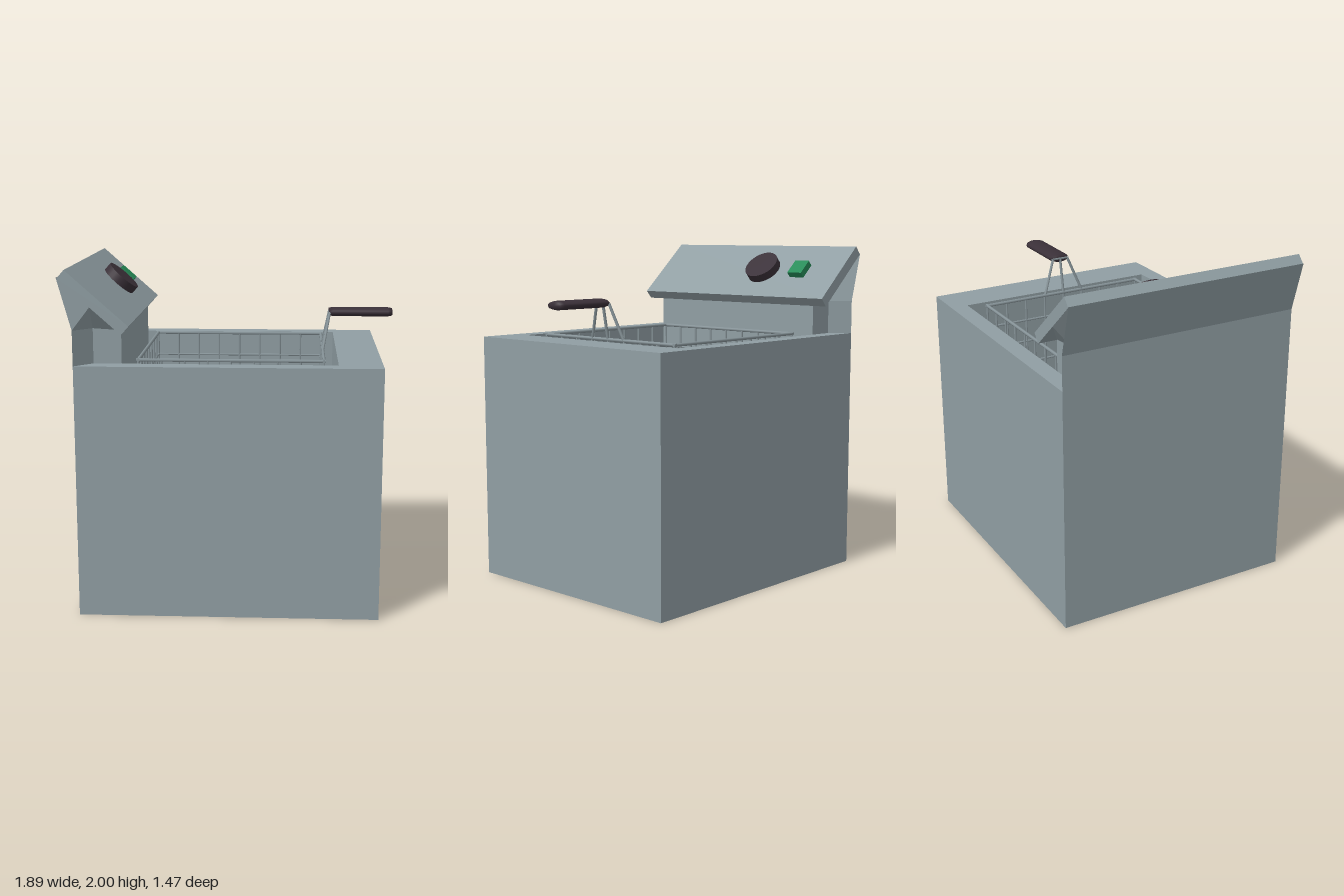
import * as THREE from 'three';
import { RoundedBoxGeometry } from 'three/addons/geometries/RoundedBoxGeometry.js';

const mat = (name, color) => Object.assign(new THREE.MeshStandardMaterial({ color }), { name });

export function createModel() {
  const steel = mat('brushed steel', 0x909ea3);
  const wire = mat('basket wire', 0x88959a);
  const dark = mat('dark plastic', 0x3a3038);
  const green = mat('green switch', 0x258c58);

  const model = new THREE.Group();
  model.name = 'deepFryer';
  const add = (name, geo, material, parent = model) => {
    const m = new THREE.Mesh(geo, material);
    m.name = name;
    parent.add(m);
    return m;
  };

  // Housing: hollow tank walls over a closed base
  const X0 = -0.87, X1 = 0.86, Z = 0.735, TOP = 1.465, FLOOR = 0.6, CX = 0.61, CZ = 0.63;
  const rect = (Type, x0, x1, z) => {
    const s = new Type();
    s.moveTo(x0, -z); s.lineTo(x1, -z); s.lineTo(x1, z); s.lineTo(x0, z); s.closePath();
    return s;
  };
  const outline = rect(THREE.Shape, X0, X1, Z);
  outline.holes.push(rect(THREE.Path, -CX, CX, CZ));
  const walls = new THREE.ExtrudeGeometry(outline, { depth: TOP - FLOOR, bevelEnabled: false });
  walls.rotateX(-Math.PI / 2).translate(0, FLOOR, 0);
  add('tankWalls', walls, steel);
  const base = new THREE.BoxGeometry(X1 - X0, FLOOR, 2 * Z);
  add('base', base.translate((X0 + X1) / 2, FLOOR / 2, 0), steel);

  // Neck of the control head: three rings, chamfered front corners, flaring to the panel
  const half = [
    [[-0.61, TOP, CZ], [-0.77, TOP, CZ], [X0, TOP, Z]],
    [[-0.61, 1.65, CZ], [-0.77, 1.665, CZ], [X0, 1.665, Z]],
    [[-0.61, 1.655, CZ], [-0.77, 1.795, Z], [-0.95, 1.957, Z]],
  ];
  const rings = half.map(h => [...h, ...[...h].reverse().map(([x, y, z]) => [x, y, -z])]);
  const pos = [];
  for (let r = 0; r < 2; r++) {
    for (let i = 0; i < 6; i++) {
      const j = (i + 1) % 6;
      const a = rings[r][i], b = rings[r][j], c = rings[r + 1][j], d = rings[r + 1][i];
      pos.push(...a, ...d, ...b, ...b, ...d, ...c);
    }
  }
  const neck = new THREE.BufferGeometry();
  neck.setAttribute('position', new THREE.Float32BufferAttribute(pos, 3));
  neck.computeVertexNormals();
  const neckMat = steel;
  neckMat.side = THREE.DoubleSide;
  add('controlNeck', neck, neckMat);

  // Sloping control panel; local y is the panel normal, local x runs down the slope
  const panel = new THREE.Group();
  panel.name = 'controlPanel';
  panel.position.set(-0.73, 1.845, 0);
  panel.rotation.z = -Math.atan2(0.31, 0.35);
  model.add(panel);
  add('panelSlab', new THREE.BoxGeometry(0.468, 0.064, 2 * Z).translate(0, -0.032, 0), steel, panel);
  const knob = new THREE.CylinderGeometry(0.111, 0.111, 0.052, 32);
  add('thermostatKnob', knob.translate(0, 0.026, -0.15), dark, panel);
  add('powerSwitch', new THREE.BoxGeometry(0.11, 0.04, 0.106).translate(0, 0.02, -0.44), green, panel);

  // Wire basket
  const basket = new THREE.Group();
  basket.name = 'basket';
  model.add(basket);
  const UP = new THREE.Vector3(0, 1, 0);
  const rod = (name, a, b, r = 0.007) => {
    const p = new THREE.Vector3(...a), q = new THREE.Vector3(...b);
    const m = add(name, new THREE.CylinderGeometry(r, r, p.distanceTo(q), 6), wire, basket);
    m.position.copy(p).add(q).multiplyScalar(0.5);
    m.quaternion.setFromUnitVectors(UP, q.sub(p).normalize());
  };
  const R = 0.53, RIM = 1.47, BOT = 0.76, N = 8, ROWS = 5;
  for (let i = 0; i <= N; i++) {
    const t = -R + (2 * R * i) / N;
    rod('floorWire', [t, BOT, -R], [t, BOT, R]);
    rod('floorWire', [-R, BOT, t], [R, BOT, t]);
    for (const s of [-R, R]) {
      rod('uprightWire', [t, BOT, s], [t, RIM, s]);
      if (i > 0 && i < N) rod('uprightWire', [s, BOT, t], [s, RIM, t]);
    }
  }
  for (let k = 1; k <= ROWS; k++) {
    const y = BOT + ((RIM - BOT) * k) / ROWS;
    const r = k === ROWS ? 0.01 : 0.007;
    for (const s of [-R, R]) {
      rod('hoopWire', [-R - r, y, s], [R + r, y, s], r);
      rod('hoopWire', [s, y, -R - r], [s, y, R + r], r);
    }
  }

  // Handle struts and grip
  for (const s of [-1, 0, 1]) {
    rod('handleStrut', [R, RIM, 0.13 * s], [0.57, 1.685, 0.05 * s], 0.009);
  }
  rod('strutBar', [0.57, 1.685, -0.05], [0.57, 1.685, 0.05], 0.009);
  const profile = [[0, 0], [0.8, 0], [1, 0.025], [1, 0.355], [0.8, 0.38], [0, 0.38]]
    .map(([r, y]) => new THREE.Vector2(r, y));
  const grip = new THREE.LatheGeometry(profile, 16);
  grip.rotateZ(-Math.PI / 2).scale(1, 0.027, 0.065).translate(0.565, 1.685, 0);
  add('handleGrip', grip, dark, basket);

  return model;
}
